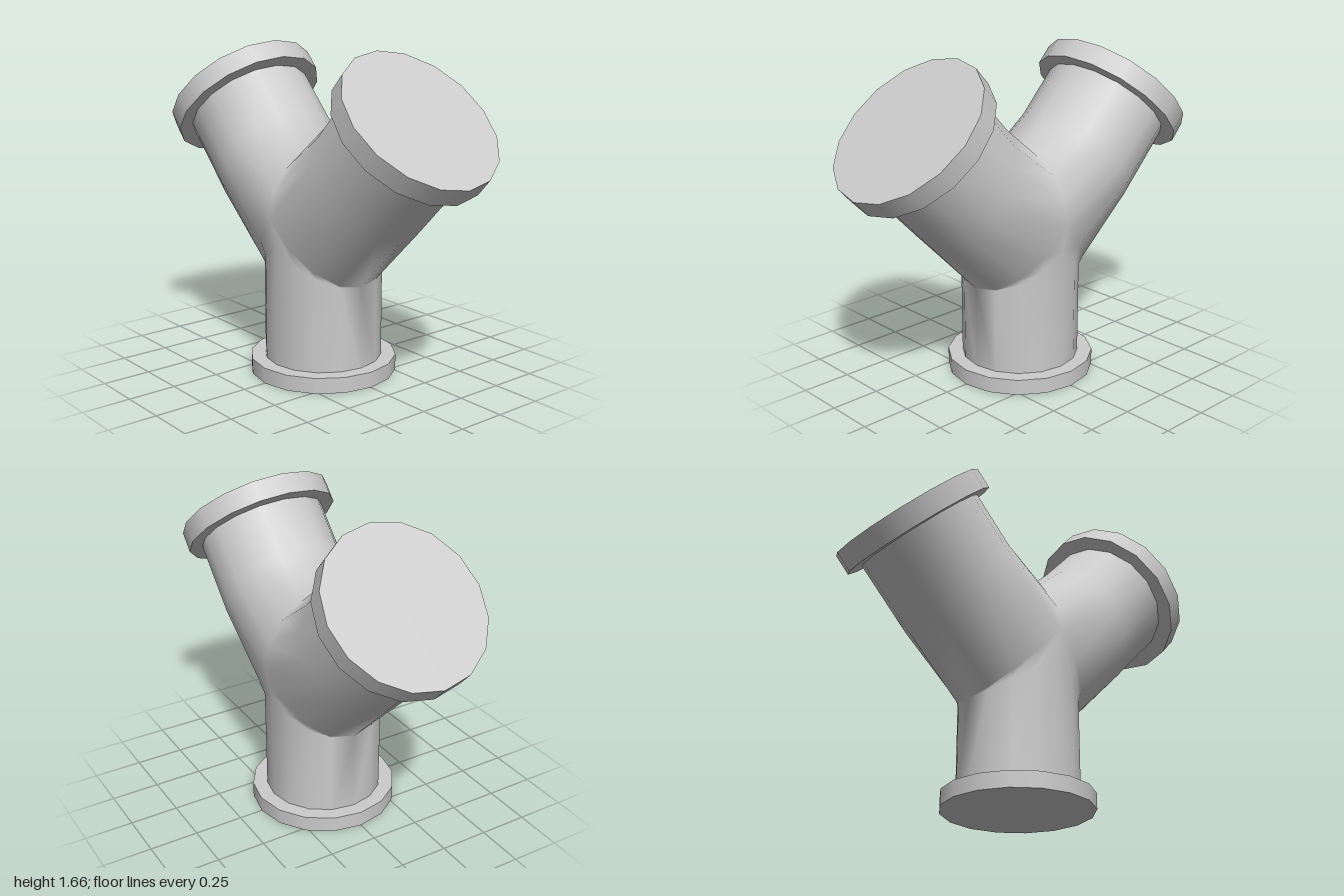
import * as THREE from 'three';
import { mergeVertices } from 'three/addons/utils/BufferGeometryUtils.js';

const SIDES = 16;
const material = new THREE.MeshStandardMaterial({ color: 0xcccccc });

// Adds quads between successive rows of points, plus their mirror image in x
function skin(out, rows) {
  const tri = (a, b, c) => {
    out.push(...a, ...b, ...c);
    for (const p of [a, c, b]) out.push(-p[0], p[1], p[2]);
  };
  for (let j = 0; j < rows.length - 1; j++) {
    for (let k = 0; k < rows[j].length - 1; k++) {
      const a = rows[j][k], b = rows[j][k + 1];
      const d = rows[j + 1][k], c = rows[j + 1][k + 1];
      tri(a, d, c);
      tri(a, c, b);
    }
  }
}

// Samples a section function at the ring's angles, from step k0 to k1
function section(k0, k1, fn) {
  const row = [];
  for (let k = k0; k <= k1; k++) {
    const phi = (k / SIDES) * Math.PI * 2;
    row.push(fn(Math.cos(phi), Math.sin(phi)));
  }
  return row;
}

// Oval section between a lower and an upper point on the arm's centre plane
const oval = ([lx, ly], [ux, uy], rz) => (c, s) => [
  (lx + ux) / 2 + ((lx - ux) / 2) * c,
  (ly + uy) / 2 + ((ly - uy) / 2) * c,
  rz * s,
];

// Section where an arm leaves the fork: flat on x = 0 above, following the stem below
const seam = (c, s) => [0.3 * Math.max(c, 0), 0.835 - 0.335 * c, 0.333 * s];

function createBody() {
  const pos = [];
  const q = SIDES / 4;
  // stem with its shoulder blending into the arm
  skin(pos, [
    section(-q, q, (c, s) => [0.3 * c, 0.04, 0.3 * s]),
    section(-q, q, (c, s) => [0.3 * c, 0.5 + 0.19 * (1 - c), 0.3 * s]),
    section(-q, q, seam),
  ]);
  // arm
  skin(pos, [
    section(0, SIDES, seam),
    section(0, SIDES, oval([0.58, 0.79], [0.19, 1.335], 0.333)),
    section(0, SIDES, oval([0.88, 1.1], [0.39, 1.55], 0.333)),
  ]);
  const geo = new THREE.BufferGeometry();
  geo.setAttribute('position', new THREE.Float32BufferAttribute(pos, 3));
  const smooth = mergeVertices(geo, 1e-4);
  smooth.computeVertexNormals();
  return new THREE.Mesh(smooth, material);
}

function createFlange(name, radius, height) {
  const mesh = new THREE.Mesh(new THREE.CylinderGeometry(radius, radius, height, SIDES), material);
  mesh.name = name;
  return mesh;
}

export function createModel() {
  const group = new THREE.Group();
  group.name = 'pipeFork';

  const body = createBody();
  body.name = 'forkedPipe';
  group.add(body);

  // bottom flange
  const base = createFlange('baseFlange', 0.375, 0.08);
  base.position.y = 0.04;
  group.add(base);

  // tilted flanges capping the two arms
  for (const side of [1, -1]) {
    const flange = createFlange(side > 0 ? 'leftFlange' : 'rightFlange', 0.4, 0.107);
    flange.scale.x = 1.03;
    flange.rotation.z = -side * THREE.MathUtils.degToRad(42.5);
    flange.position.set(side * 0.659, 1.341, 0);
    group.add(flange);
  }
  return group;
}
